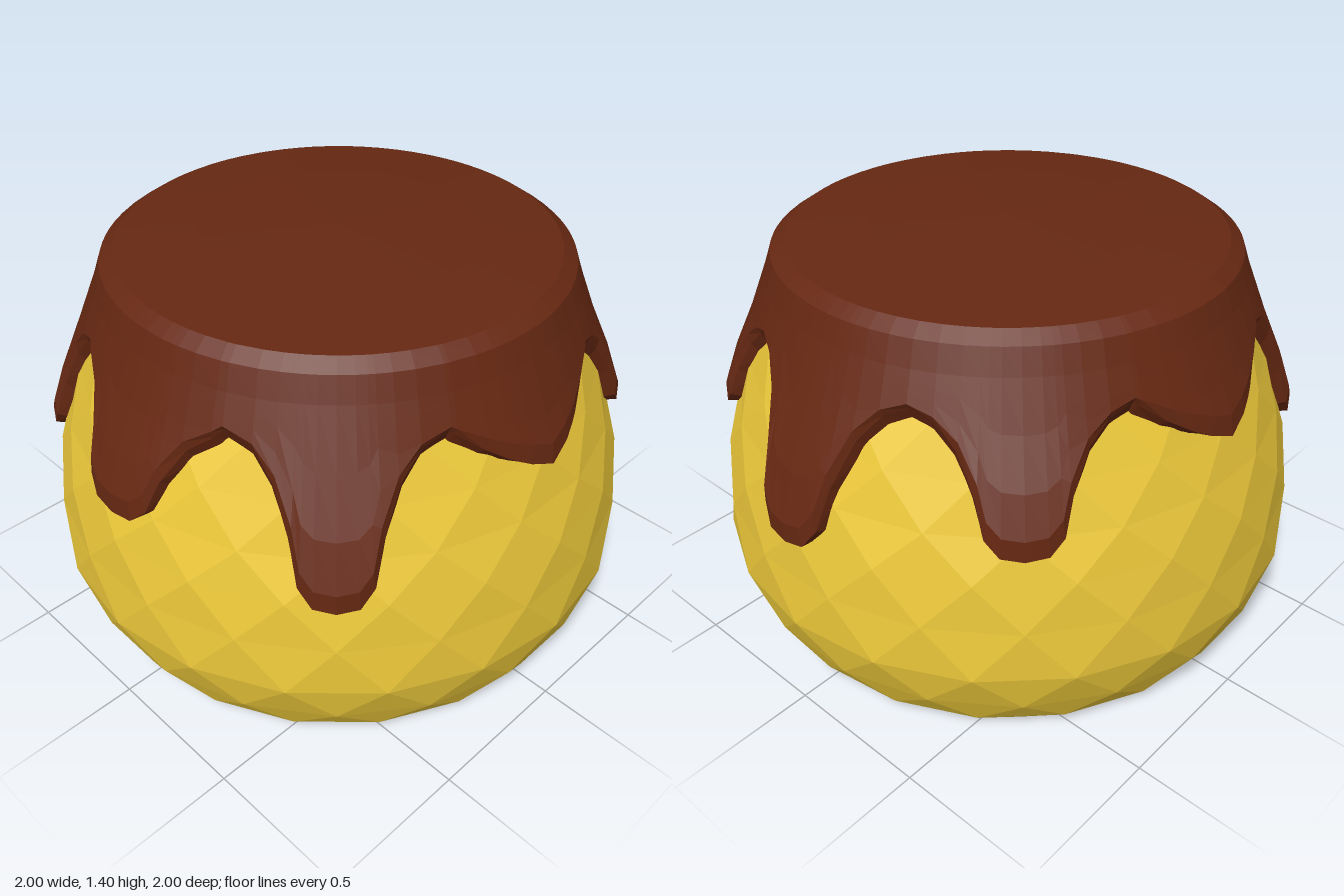
import * as THREE from 'three';

// Pudding silhouette: [radius, height] from the base upwards
const PROFILE = [[0, 0], [0.84, 0.005], [0.89, 0.05], [0.955, 0.17], [1, 0.32], [0.99, 0.5], [0.967, 0.66],
  [0.925, 0.8], [0.87, 0.95], [0.8, 1.1], [0.74, 1.25], [0, 1.28]];

// Drips anticlockwise from the front, 45 degrees apart: [tip height, width factor]
const DRIPS = [[0.775, 1.2], [0.665, 0.95], [0.935, 1.25], [0.755, 1], [0.65, 1], [0.755, 1], [0.94, 1.25], [0.645, 0.95]];
// Half outline of a drip: [degrees from its middle, share of its depth]
const EDGE = [[0, 1], [4, 0.97], [6.5, 0.84], [8.2, 0.55], [12, 0.24], [17, 0.07], [22.5, 0]];
const VALLEY = 1.14, SHOULDER = 1.25;

function bodyRadius(y) {
  let i = 2;
  while (i < PROFILE.length - 2 && PROFILE[i][1] < y) i++;
  const [r0, y0] = PROFILE[i - 1], [r1, y1] = PROFILE[i];
  return r0 + (r1 - r0) * (y - y0) / (y1 - y0);
}

const flat = (color) => new THREE.MeshStandardMaterial({ color, flatShading: true });

function makePudding() {
  const n = 20, rows = PROFILE.length;
  const geo = new THREE.LatheGeometry(PROFILE.map(([r, y]) => new THREE.Vector2(r, y)), n);
  const pos = geo.attributes.position;
  // Turn each ring half a step past the one below, for triangular facets
  for (let k = 0; k < pos.count; k++) {
    const j = k % rows, a = (Math.floor(k / rows) + j / 2) / n * Math.PI * 2;
    pos.setXYZ(k, PROFILE[j][0] * Math.sin(a), PROFILE[j][1], PROFILE[j][0] * Math.cos(a));
  }
  geo.computeVertexNormals();
  const mesh = new THREE.Mesh(geo, flat(0xecc83a));
  mesh.name = 'pudding';
  return mesh;
}

// Columns of the sauce around the cake
function sauceColumns() {
  const cols = [];
  DRIPS.forEach(([tip, width], d) => {
    for (let s = -6; s < 6; s++) {
      const [deg, share] = EDGE[Math.abs(s)];
      const last = Math.abs(s) === 6;
      const off = Math.sign(s) * (last ? deg : deg * width);
      // Shallow drips get a softer V outline
      const f = tip > 0.9 ? Math.max(0, 1 - Math.pow(Math.abs(off) / 22.5, 1.2)) : share;
      const side = last ? 0 : Math.sign(s) * 1.3 * Math.min(1, 4 * f * (1 - f) + 0.3);
      cols.push({ deg: d * 45 + off, side, f, y: VALLEY - (VALLEY - tip) * f });
    }
  });
  cols.push({ ...cols[0], deg: cols[0].deg + 360 });
  return cols;
}

// Section of the sauce at one column, from the hidden lip to the top centre: [radius, height, turn]
function sauceSection({ y, f, side }) {
  const lip = y - 0.055 * (1 - f), out = y + 0.05 * f;
  const section = [[bodyRadius(lip) - 0.02, lip, side], [bodyRadius(y) + 0.03, y, side * 0.4]];
  for (const t of [0, 0.3, 0.65, 1]) {
    const h = out + 0.02 + (SHOULDER - out - 0.02) * t;
    section.push([bodyRadius(h) + 0.05, h, 0]);
  }
  section.push([0.762, 1.33, 0], [0.715, 1.362, 0], [0.45, 1.382, 0], [0, 1.397, 0]);
  return section;
}

function makeSauce() {
  const cols = sauceColumns(), sections = cols.map(sauceSection), rows = sections[0].length;
  const geo = new THREE.LatheGeometry(sections[0].map(([r, y]) => new THREE.Vector2(r, y)), cols.length - 1);
  const pos = geo.attributes.position;
  cols.forEach((col, i) => sections[i].forEach(([r, y, turn], j) => {
    const a = THREE.MathUtils.degToRad(col.deg + turn);
    pos.setXYZ(i * rows + j, r * Math.sin(a), y, r * Math.cos(a));
  }));
  geo.computeVertexNormals();
  const material = flat(0x662812);
  material.side = THREE.DoubleSide;
  const mesh = new THREE.Mesh(geo, material);
  mesh.name = 'caramelSauce';
  return mesh;
}

export function createModel() {
  const group = new THREE.Group();
  group.name = 'caramelPudding';
  group.add(makePudding(), makeSauce());
  return group;
}
